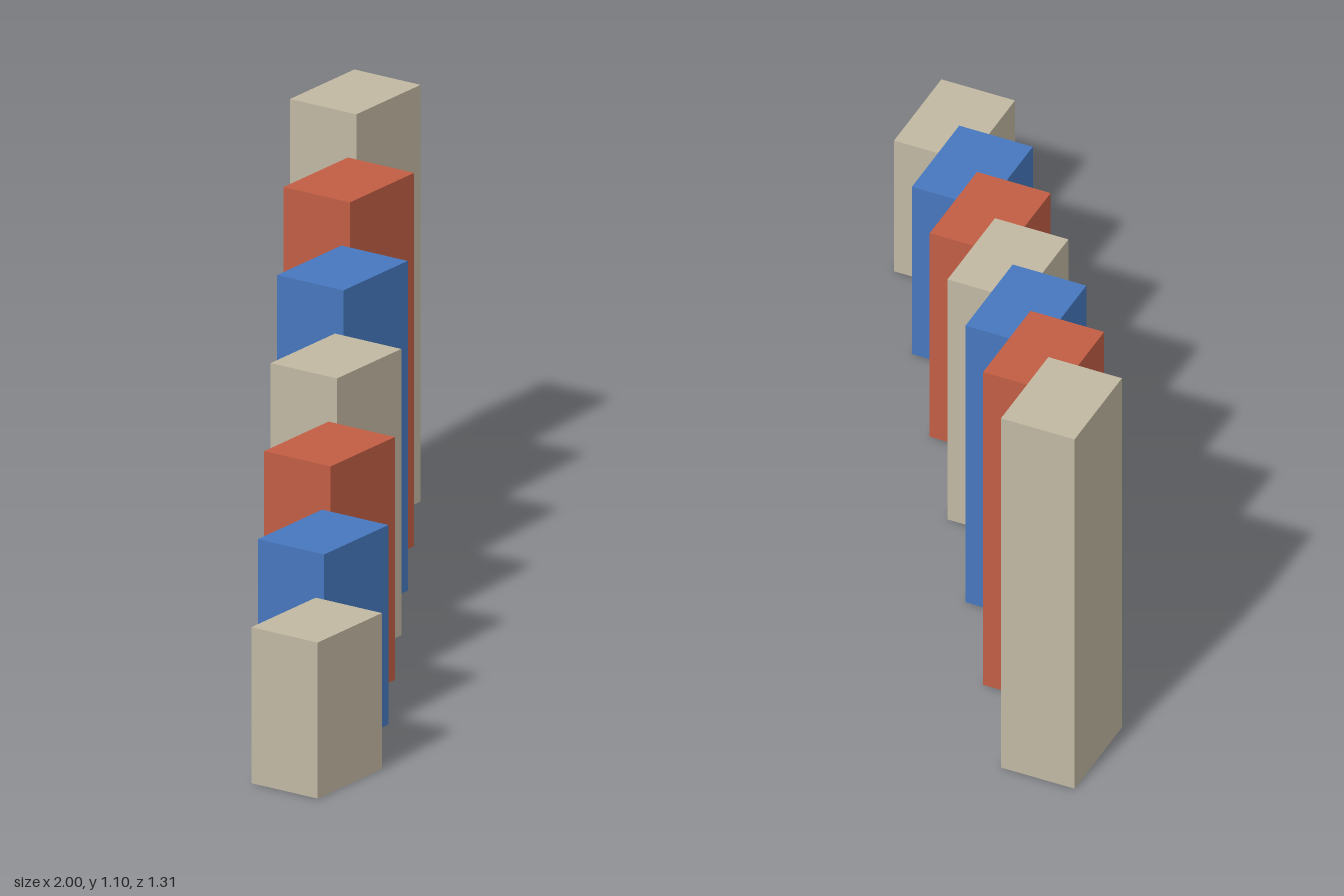
import * as THREE from 'three';

const COUNT = 7;
const WIDTH = 0.277, DEPTH = 0.203;
const STEP_X = 0.287, STEP_Y = 0.1147, STEP_Z = -0.1845;
const MIDDLE_HEIGHT = 0.756;

function material(name, color) {
  const m = new THREE.MeshStandardMaterial({ color });
  m.name = name;
  return m;
}

export function createModel() {
  const group = new THREE.Group();
  group.name = 'steppedBlocks';

  const colours = [
    material('sand', 0xc2b8a3),
    material('blue', 0x4677bd),
    material('brickRed', 0xc25e44),
  ];

  // Row of blocks, each taller and further back than the one before
  for (let i = 0; i < COUNT; i++) {
    const k = i - (COUNT - 1) / 2;
    const height = MIDDLE_HEIGHT + k * STEP_Y;
    const block = new THREE.Mesh(
      new THREE.BoxGeometry(WIDTH, height, DEPTH),
      colours[i % colours.length],
    );
    block.name = `block${i + 1}`;
    block.position.set(k * STEP_X, height / 2, k * STEP_Z);
    group.add(block);
  }

  return group;
}
